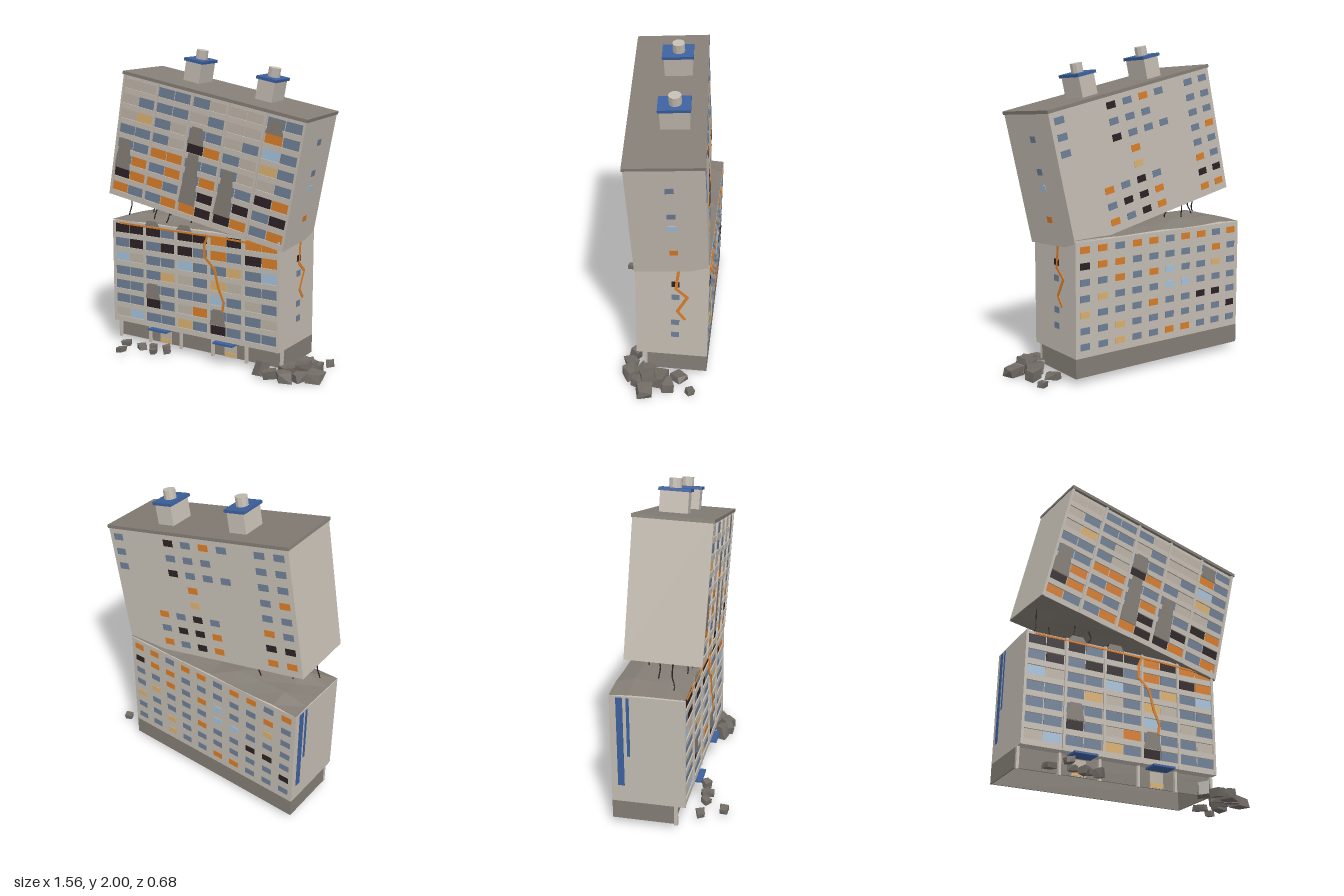
import * as THREE from 'three';
import { mergeGeometries } from 'three/addons/utils/BufferGeometryUtils.js';
import { ConvexGeometry } from 'three/addons/geometries/ConvexGeometry.js';

const mat = (name, color) => {
  const m = new THREE.MeshStandardMaterial({ color });
  m.name = name;
  return m;
};
const M = {
  wall: mat('wall', 0xc3bcb2),
  dark: mat('concrete', 0x837d75),
  rubble: mat('rubble', 0x716b65),
  trim: mat('blueTrim', 0x3c609d),
  P: mat('curtain', 0xbdb3a6),
  B: mat('blueGlass', 0x6e7f95),
  L: mat('lightGlass', 0xa5c1db),
  Y: mat('yellowGlass', 0xd8b070),
  O: mat('orange', 0xd87d28),
  D: mat('burnt', 0x2b2123),
};

const W = 1.29, D = 0.45, PITCH = 0.0975, BAY = 0.257;
const WALL_Z = 0.211; // front wall, just behind the balcony fronts
const FRONT_Z = 0.221; // balcony fronts
const colX = (c) => (Math.floor(c / 2) - 2) * BAY + (c % 2 ? 0.06 : -0.06);

let seed = 7;
const rnd = () => (seed = (seed * 16807) % 2147483647) / 2147483647;

function add(parent, name, geo, material) {
  const m = new THREE.Mesh(geo, material);
  m.name = name;
  parent.add(m);
  return m;
}
const box = (w, h, d, x, y, z) => new THREE.BoxGeometry(w, h, d).translate(x, y, z);
const flat = (g) => {
  const n = g.index ? g.toNonIndexed() : g;
  n.computeVertexNormals();
  return n;
};

// Uneven torn floor, facing up (dir 1) or down (dir -1)
function tornFloor(dir, y, amp) {
  const g = new THREE.PlaneGeometry(W, D, 8, 4).rotateX(-dir * Math.PI / 2);
  const p = g.attributes.position;
  for (let i = 0; i < p.count; i++) {
    const edge = Math.abs(p.getX(i)) > W / 2 - 0.01 || Math.abs(p.getZ(i)) > D / 2 - 0.01;
    p.setY(i, y + dir * amp * (edge ? 0.25 * rnd() : 0.2 + 0.8 * rnd()));
  }
  return flat(g);
}

// Tapered soot stain above a burnt window
function soot(parent, col, y, h) {
  const s = new THREE.Shape([[-0.06, 0], [0.06, 0], [0.038, h], [-0.036, h]]
    .map(([a, b]) => new THREE.Vector2(a, b)));
  const g = new THREE.ExtrudeGeometry(s, { depth: 0.003, bevelEnabled: false });
  add(parent, 'sootStain', g.translate(colX(col), y, FRONT_Z - 0.001), M.dark);
}

// One storeyed block: walls, balconies, piers and glazing. Rows run bottom to top.
function block(name, y0, height, front, back, side) {
  const g = new THREE.Group();
  g.name = name;
  add(g, 'walls', box(W, height, D / 2 + WALL_Z, 0, y0 + height / 2, (WALL_Z - D / 2) / 2), M.wall);
  const panes = {}, concrete = [];
  const pane = (key, geo) => { if (M[key]) (panes[key] ??= []).push(geo); };

  front.forEach((row, r) => {
    const y = y0 + 0.066 + r * PITCH;
    [...row].forEach((k, c) => pane(k, box(0.113, 0.06, 0.006, colX(c), y, WALL_Z)));
    for (let b = -2; b <= 2; b++) {
      concrete.push(box(0.243, 0.036, FRONT_Z - WALL_Z, b * BAY, y - 0.048, (FRONT_Z + WALL_Z) / 2));
    }
  });
  for (let i = 0; i <= 5; i++) {
    concrete.push(box(0.016, height, D / 2 - WALL_Z, (i - 2.5) * (W - 0.016) / 5, y0 + height / 2, (D / 2 + WALL_Z) / 2));
  }
  back.forEach((row, r) => [...row].forEach((k, c) =>
    pane(k, box(0.068, 0.041, 0.006, (4.5 - c) * 0.129, y0 + 0.066 + r * PITCH, -D / 2))));
  [...side].forEach((k, r) =>
    pane(k, box(0.006, 0.038, 0.05, W / 2, y0 + 0.066 + r * PITCH, -0.022)));

  add(g, 'balconiesAndPiers', mergeGeometries(concrete), M.wall);
  for (const k in panes) add(g, M[k].name + 'Windows', mergeGeometries(panes[k]), M[k]);
  return g;
}

// Zigzag crack as thin plates between points
function crack(parent, name, pts, width) {
  const parts = pts.slice(1).map(([x, y], i) => {
    const [px, py] = pts[i], dx = x - px, dy = y - py;
    return new THREE.BoxGeometry(Math.hypot(dx, dy) + width * 0.4, width, 0.006)
      .rotateZ(Math.atan2(dy, dx)).translate((x + px) / 2, (y + py) / 2, 0);
  });
  return add(parent, name, mergeGeometries(parts), M.O);
}

// Angular chunk resting on height y
function rock(parent, x, z, w, h, d, y = 0) {
  const pts = [];
  for (const a of [-1, 1]) for (const b of [-1, 1]) for (const c of [-1, 1]) {
    pts.push(new THREE.Vector3(a * w * (0.3 + 0.2 * rnd()), b * h * (0.35 + 0.15 * rnd()), c * d * (0.3 + 0.2 * rnd())));
  }
  const g = new ConvexGeometry(pts).rotateZ((rnd() - 0.5) * 0.5).rotateY(rnd() * 1.2);
  g.computeBoundingBox();
  add(parent, 'rubbleChunk', flat(g.translate(x, y - g.boundingBox.min.y, z)), M.rubble);
}

export function createModel() {
  const root = new THREE.Group();
  root.name = 'brokenApartmentBlock';

  // Standing lower half
  const lower = block('lowerBlock', 0.16, 0.7,
    ['PLBBYBDBBB', 'BBDBPOBBBP', 'BBBBBBLBPB', 'BBBYPBYPBB', 'LPBBLBBYBL', 'BDBDDBOBDO', 'DDDBDDODOO'],
    ['BBYBBOOBBB', 'BBYBBBBBBD', 'YBBBOBBDDB', 'BYBBBLLBBB', 'BBOBOLBBYB', 'DOOBBBBBOB', 'OOBOOBOOBO'],
    '.BB.BD.');
  lower.position.set(-0.135, 0, -0.115);
  root.add(lower);
  add(lower, 'tornTop', tornFloor(1, 0.862, 0.05), M.dark);
  soot(lower, 2, 0.355, 0.105);
  soot(lower, 6, 0.26, 0.105);
  soot(lower, 2, 0.85, 0.035);
  soot(lower, 4, 0.85, 0.035);

  // Hollow plinth, set back under the front, with posts, doors and canopies
  const plinth = [
    box(W, 0.12, 0.008, 0, 0.1, 0.15), box(W, 0.12, 0.008, 0, 0.1, -0.221),
    ...[-1, 1].map((s) => box(0.008, 0.12, 0.379, s * (W / 2 - 0.004), 0.1, -0.035)),
  ];
  add(lower, 'plinth', mergeGeometries(plinth), M.dark);
  for (let i = 0; i <= 5; i++) {
    add(lower, 'post', box(0.016, 0.13, 0.022, (i - 2.5) * (W - 0.016) / 5, 0.095, 0.165), M.wall);
  }
  for (const x of [-0.257, 0.257]) {
    add(lower, 'door', box(0.09, 0.1, 0.008, x, 0.09, 0.156), M.P);
    add(lower, 'doorGlow', box(0.09, 0.026, 0.004, x, 0.058, 0.161), M.Y);
    add(lower, 'canopy', box(0.148, 0.012, 0.11, x, 0.153, 0.205), M.trim);
  }
  // Tall blue strips on the left-hand end wall
  add(lower, 'endStrip', box(0.006, 0.58, 0.04, -W / 2, 0.56, -0.165), M.trim);
  add(lower, 'endStrip', box(0.006, 0.38, 0.018, -W / 2, 0.66, -0.115), M.trim);

  // Tilted upper half
  const upper = block('upperBlock', -0.41, 0.81,
    ['OBBOODDOBO', 'DOOBBDBDBD', 'BOBOBOBBDO', 'BBOOBBBPPB', 'BBBPDOBPYB', 'PYBPBBPBLB', 'PBBBPBPPOB', 'PPBBBPPPBB'],
    ['..OBDO..OO', '..BDDO..DD', '..OBDB..OB', '....Y...BB', '....O...BO', 'B..DBBB.BB', 'B..BBB..BB', 'B..DBOB.BB'],
    '.O.LB.B.');
  upper.position.set(-0.0305, 1.3416, -0.055);
  upper.rotation.set(0.047, 0.058, -0.205);
  root.add(upper);
  add(upper, 'tornUnderside', tornFloor(-1, -0.41, 0.04), M.dark);
  add(upper, 'roof', box(W + 0.012, 0.02, D + 0.012, 0, 0.402, 0), M.dark);
  [[0, 1, 0.2], [4, 0, 0.33], [6, 0, 0.29], [4, 4, 0.11], [8, 6, 0.09]].forEach(([c, r, h]) =>
    soot(upper, c, -0.41 + 0.066 + r * PITCH + 0.03, h));

  // Rooftop vents
  for (const x of [-0.26, 0.26]) {
    add(upper, 'ventHousing', box(0.115, 0.13, 0.17, x, 0.475, -0.05), M.wall);
    add(upper, 'ventCap', box(0.138, 0.018, 0.19, x, 0.545, -0.05), M.trim);
    add(upper, 'ventPipe', flat(new THREE.CylinderGeometry(0.038, 0.038, 0.06, 10).translate(x, 0.58, -0.055)), M.wall);
  }

  // Cracks and scorched edge, flush with the balcony fronts
  crack(root, 'scorchedEdge', [[-0.72, 0.846], [-0.3, 0.84], [0.1, 0.836], [0.5, 0.82]], 0.011).position.z = 0.108;
  crack(root, 'frontCrack', [[-0.01, 0.84], [-0.035, 0.78], [-0.035, 0.7], [0.04, 0.63], [0.07, 0.51], [0.11, 0.42], [0.1, 0.36]], 0.015)
    .position.z = 0.108;
  const sideCrack = crack(root, 'sideCrack', [[0.155, 0.82], [0.14, 0.68], [0.21, 0.62], [0.15, 0.51], [0.195, 0.45]], 0.018);
  sideCrack.rotation.y = Math.PI / 2;
  sideCrack.position.x = 0.511;

  // Bent reinforcing bars across the gap
  [[-0.7, 0.02], [-0.57, -0.1], [-0.46, 0.05], [-0.42, -0.2], [-0.39, -0.05], [-0.36, 0.06], [-0.33, -0.15], [-0.21, 0]].forEach(([x, z]) => {
    const top = 1.05 - 0.21 * (x + 0.7), k = (rnd() - 0.5) * 0.04;
    const path = new THREE.CatmullRomCurve3([
      new THREE.Vector3(x - 0.015, 0.86, z), new THREE.Vector3(x + k, 0.91, z + 0.01),
      new THREE.Vector3(x + 0.012, 0.96, z - k), new THREE.Vector3(x + 0.01, top, z),
    ]);
    add(root, 'reinforcingBar', new THREE.TubeGeometry(path, 8, 0.004, 5), M.D);
  });

  // Rubble heap at the right-hand corner and chunks along the front
  [[0.4, 0.13, 0.075, 0.11, 0.08], [0.47, 0.15, 0.09, 0.06, 0.09], [0.57, 0.14, 0.11, 0.07, 0.1],
    [0.55, 0.04, 0.12, 0.07, 0.11], [0.64, 0.08, 0.11, 0.06, 0.1], [0.72, 0.03, 0.12, 0.07, 0.12],
    [0.62, -0.04, 0.13, 0.08, 0.12], [0.66, -0.1, 0.09, 0.07, 0.09], [0.57, -0.17, 0.1, 0.05, 0.1],
    [0.69, -0.25, 0.06, 0.04, 0.06], [0.64, 0.02, 0.1, 0.05, 0.1, 0.05], [0.58, 0.08, 0.08, 0.04, 0.08, 0.045],
    [-0.57, 0.305, 0.07, 0.04, 0.06, 0.02], [-0.63, 0.17, 0.07, 0.035, 0.06, 0.02], [-0.49, 0.18, 0.06, 0.04, 0.06, 0.02],
    [-0.41, 0.16, 0.06, 0.05, 0.06, 0.02], [-0.39, 0.19, 0.05, 0.04, 0.05, 0.01], [-0.31, 0.15, 0.055, 0.06, 0.06, 0.015],
  ].forEach((r) => rock(root, ...r));

  return root;
}
